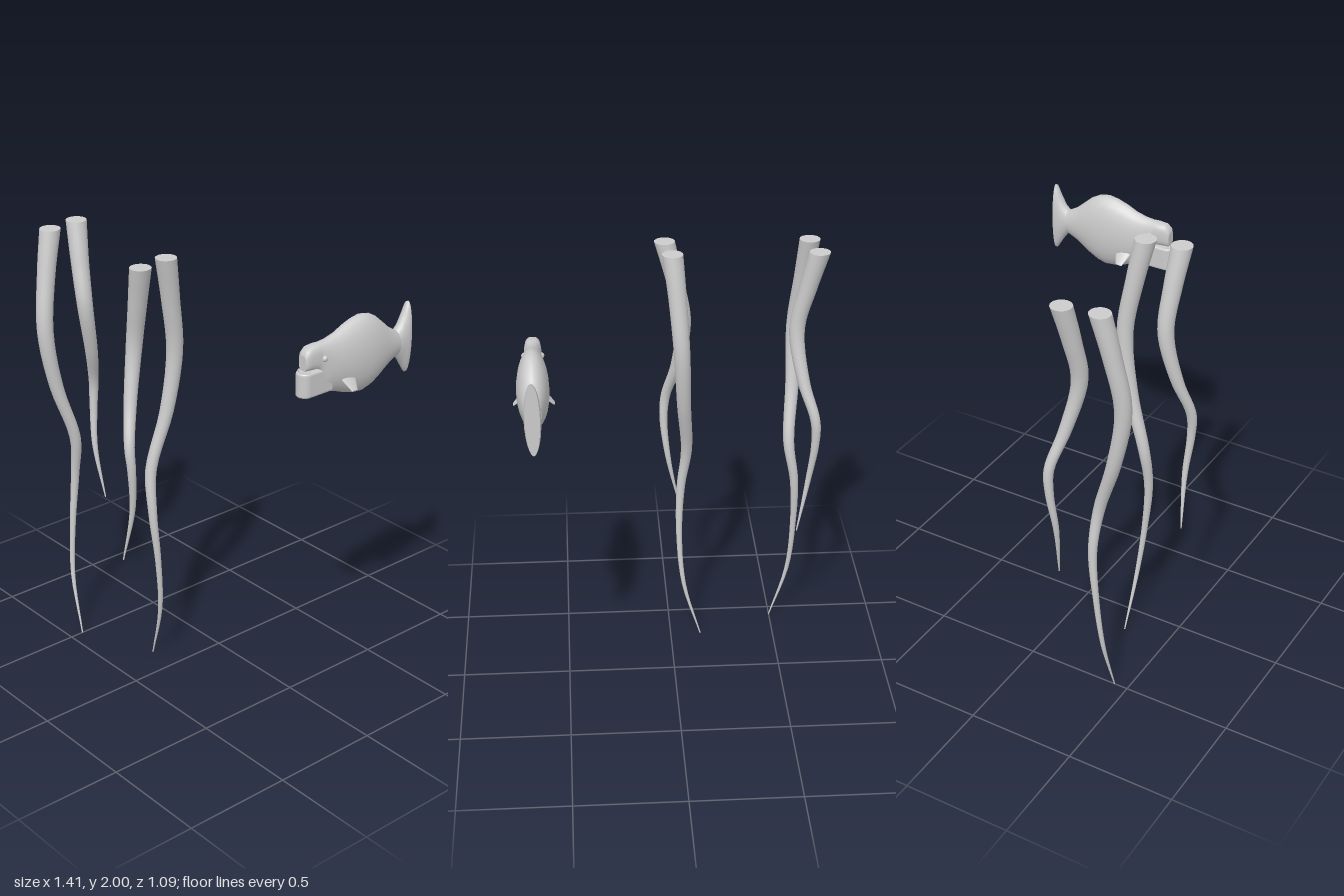
import * as THREE from 'three';

const material = new THREE.MeshStandardMaterial({ color: 0xcccccc });

// Closed smooth surface through rings of points, with flat sharp-edged caps.
// Rings turn counter-clockwise about the direction in which they advance.
function loft(rings) {
  const n = rings[0].length, pos = [], index = [];
  const push = (p) => pos.push(p.x, p.y, p.z) / 3 - 1;
  rings.forEach((ring) => ring.forEach(push));
  for (let i = 0; i < rings.length - 1; i++) {
    for (let j = 0; j < n; j++) {
      const a = i * n + j, b = i * n + (j + 1) % n;
      index.push(a, b, a + n, b, b + n, a + n);
    }
  }
  const cap = (ring, atStart) => {
    const mid = new THREE.Vector3();
    ring.forEach((p) => mid.addScaledVector(p, 1 / n));
    const c = push(mid);
    ring.forEach(push);
    for (let j = 0; j < n; j++) {
      const a = c + 1 + j, b = c + 1 + (j + 1) % n;
      if (atStart) index.push(c, b, a);
      else index.push(c, a, b);
    }
  };
  cap(rings[0], true);
  cap(rings[rings.length - 1], false);
  const g = new THREE.BufferGeometry();
  g.setAttribute('position', new THREE.Float32BufferAttribute(pos, 3));
  g.setIndex(index);
  g.computeVertexNormals();
  return g;
}

function add(parent, name, geometry, x = 0, y = 0, z = 0) {
  const m = new THREE.Mesh(geometry, material);
  m.name = name;
  m.position.set(x, y, z);
  parent.add(m);
  return m;
}

// Tapering tentacle with level rings; each point is [x, y, z, radius]
function tentacle(points) {
  const path = new THREE.CatmullRomCurve3(points.map((p) => new THREE.Vector3(p[0], p[1], p[2])));
  const steps = 40, sides = 20, rings = [];
  for (let i = 0; i <= steps; i++) {
    const t = i / steps, c = path.getPoint(t);
    const f = t * (points.length - 1), k = Math.min(Math.floor(f), points.length - 2);
    const r = THREE.MathUtils.lerp(points[k][3], points[k + 1][3], f - k);
    rings.push(Array.from({ length: sides }, (_, j) => {
      const a = j / sides * Math.PI * 2;
      return new THREE.Vector3(c.x + r * Math.cos(a), c.y, c.z + r * Math.sin(a));
    }));
  }
  return loft(rings);
}

// Fish cross-sections [z, bottom, top, half width, squareness]
function fishLoft(sections) {
  const sides = 24;
  return loft(sections.map(([z, lo, hi, w, e = 1]) => Array.from({ length: sides }, (_, j) => {
    const a = j / sides * Math.PI * 2;
    const c = Math.cos(a), s = Math.sin(a);
    const u = Math.sign(c) * Math.abs(c) ** e, v = Math.sign(s) * Math.abs(s) ** e;
    return new THREE.Vector3(w * v, (lo + hi) / 2 + u * (hi - lo) / 2, z);
  })));
}

function createFish() {
  const fish = new THREE.Group();
  fish.name = 'fish';
  fish.position.x = 0.612;

  add(fish, 'body', fishLoft([
    [0.072, 1.628, 1.695, 0.022, 0.7],
    [0.065, 1.626, 1.715, 0.029, 0.7],
    [0.045, 1.625, 1.73, 0.034, 0.7],
    [0.0, 1.622, 1.733, 0.038, 0.75],
    [-0.02, 1.52, 1.733, 0.041, 0.8],
    [-0.06, 1.503, 1.738, 0.046, 0.9],
    [-0.11, 1.487, 1.752, 0.054],
    [-0.16, 1.468, 1.774, 0.062],
    [-0.21, 1.454, 1.79, 0.068],
    [-0.257, 1.449, 1.798, 0.07],
    [-0.3, 1.46, 1.79, 0.069],
    [-0.34, 1.481, 1.768, 0.064],
    [-0.38, 1.51, 1.733, 0.057],
    [-0.42, 1.534, 1.697, 0.047],
    [-0.47, 1.555, 1.668, 0.037],
  ]));

  // Flared tail, thick at its end
  add(fish, 'tail', fishLoft([
    [-0.462, 1.56, 1.666, 0.034],
    [-0.49, 1.525, 1.695, 0.035],
    [-0.515, 1.485, 1.745, 0.036],
    [-0.532, 1.458, 1.785, 0.036],
    [-0.541, 1.458, 1.785, 0.031],
  ]));

  // Jutting lower jaw: a rounded tongue shape, extruded upward
  const outline = new THREE.Shape();
  outline.moveTo(-0.03, 0.06);
  outline.lineTo(-0.03, -0.055);
  outline.absarc(0, -0.055, 0.03, Math.PI, Math.PI * 2, false);
  outline.lineTo(0.03, 0.06);
  const jaw = new THREE.ExtrudeGeometry(outline, {
    depth: 0.09, bevelSize: 0.008, bevelThickness: 0.01, bevelSegments: 3, curveSegments: 16,
  });
  jaw.rotateX(-Math.PI / 2).rotateY(0);
  add(fish, 'lowerJaw', jaw, 0, 1.522, 0.002);

  // Row of teeth around the jaw rim
  for (let i = 0; i < 15; i++) {
    const a = Math.PI * i / 14;
    add(fish, 'tooth', new THREE.ConeGeometry(0.004, 0.012, 8),
      0.031 * Math.cos(a), 1.624, 0.056 + 0.031 * Math.sin(a));
  }

  for (const side of [-1, 1]) {
    add(fish, side > 0 ? 'leftEye' : 'rightEye', new THREE.SphereGeometry(0.014, 16, 12), side * 0.036, 1.67, -0.018);

    // Paddle fin, pointing outward and down
    const fin = add(fish, side > 0 ? 'leftFin' : 'rightFin',
      new THREE.CylinderGeometry(0.042, 0.016, 0.068, 20), side * 0.064, 1.53, -0.15);
    fin.scale.x = 0.25;
    fin.rotation.z = side * 0.75;
  }
  return fish;
}

export function createModel() {
  const model = new THREE.Group();

  // Tentacles hang from level tops, in two pairs of one long and one short
  add(model, 'rightLongTentacle', tentacle([
    [-0.635, 2, 0.43, 0.047], [-0.615, 1.8, 0.475, 0.041], [-0.588, 1.55, 0.512, 0.037],
    [-0.582, 1.27, 0.468, 0.032], [-0.565, 1.0, 0.388, 0.026], [-0.595, 0.8, 0.375, 0.02],
    [-0.6, 0.55, 0.395, 0.014], [-0.58, 0.28, 0.42, 0.01], [-0.5, 0, 0.435, 0.003],
  ]));
  add(model, 'rightShortTentacle', tentacle([
    [-0.66, 2, 0.27, 0.047], [-0.615, 1.82, 0.29, 0.041], [-0.573, 1.62, 0.3, 0.036],
    [-0.605, 1.38, 0.25, 0.029], [-0.66, 1.2, 0.203, 0.023], [-0.664, 1.08, 0.205, 0.019],
    [-0.64, 0.88, 0.222, 0.013], [-0.592, 0.62, 0.205, 0.003],
  ]));
  add(model, 'leftLongTentacle', tentacle([
    [-0.01, 2, 0.283, 0.047], [-0.03, 1.8, 0.245, 0.041], [-0.048, 1.55, 0.211, 0.037],
    [-0.06, 1.27, 0.25, 0.032], [-0.077, 1.0, 0.33, 0.026], [-0.052, 0.8, 0.345, 0.02],
    [-0.043, 0.55, 0.325, 0.014], [-0.065, 0.28, 0.3, 0.01], [-0.145, 0, 0.285, 0.003],
  ]));
  add(model, 'leftShortTentacle', tentacle([
    [0.017, 2, 0.44, 0.047], [-0.028, 1.82, 0.425, 0.041], [-0.066, 1.62, 0.418, 0.036],
    [-0.04, 1.38, 0.465, 0.029], [0.01, 1.2, 0.514, 0.023], [0.02, 1.08, 0.512, 0.019],
    [0.0, 0.88, 0.498, 0.013], [-0.052, 0.62, 0.515, 0.003],
  ]));

  model.add(createFish());
  return model;
}
